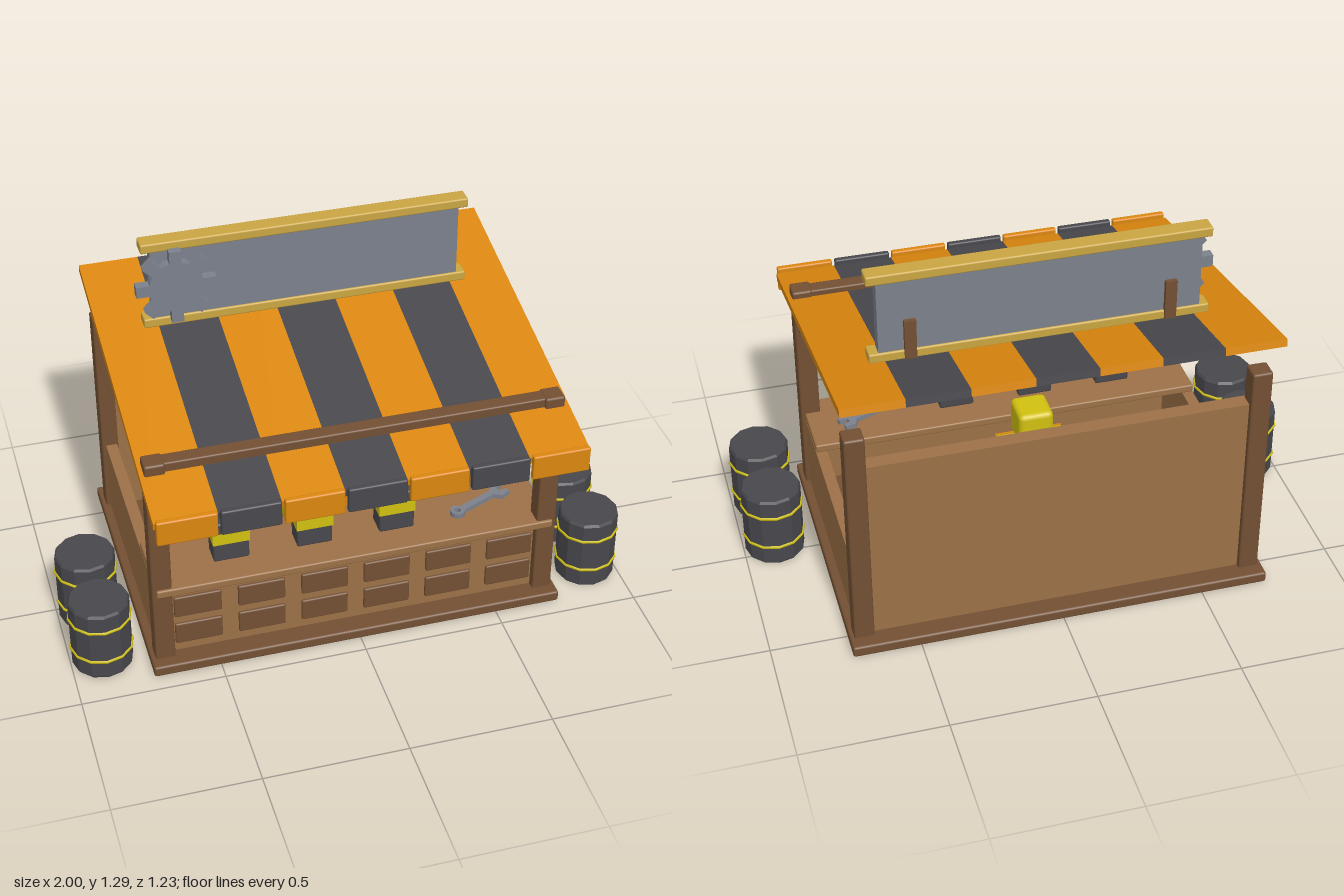
import * as THREE from 'three';
import { RoundedBoxGeometry } from 'three/addons/geometries/RoundedBoxGeometry.js';

const mat = (name, color) => {
  const m = new THREE.MeshStandardMaterial({ color });
  m.name = name;
  return m;
};

export function createModel() {
  const root = new THREE.Group();
  root.name = 'marketStall';
  const lightWood = mat('lightWood', 0x9c7147);
  const darkWood = mat('darkWood', 0x735033);
  const orange = mat('orange', 0xdb870f);
  const charcoal = mat('charcoal', 0x48474c);
  const gold = mat('gold', 0xc9a542);
  const yellow = mat('yellow', 0xd0c010);
  const steel = mat('steel', 0x7b818c);

  const add = (name, geo, material, x = 0, y = 0, z = 0, parent = root) => {
    const m = new THREE.Mesh(geo, material);
    m.name = name;
    m.position.set(x, y, z);
    parent.add(m);
    return m;
  };
  // Box given by its limits on each axis; r softens the edges
  const box = (name, material, [x0, x1], [y0, y1], [z0, z1], r = 0, parent = root) => {
    const s = [x1 - x0, y1 - y0, z1 - z0];
    const geo = r ? new RoundedBoxGeometry(...s, 2, r) : new THREE.BoxGeometry(...s);
    return add(name, geo, material, (x0 + x1) / 2, (y0 + y1) / 2, (z0 + z1) / 2, parent);
  };
  const group = (name, x = 0, y = 0, z = 0, parent = root) => {
    const g = new THREE.Group();
    g.name = name;
    g.position.set(x, y, z);
    parent.add(g);
    return g;
  };

  // Platform, walls and counter
  box('platform', darkWood, [-0.735, 0.735], [0, 0.04], [-0.61, 0.44], 0.008);
  box('backWall', lightWood, [-0.66, 0.66], [0.04, 0.735], [-0.54, -0.487]);
  box('counterFront', lightWood, [-0.66, 0.66], [0.04, 0.315], [0.325, 0.365]);
  box('counterTop', lightWood, [-0.705, 0.705], [0.315, 0.345], [0.123, 0.405], 0.006);
  for (const y of [0.415, 0.605])
    box('shelf', darkWood, [-0.61, 0.61], [y, y + 0.016], [-0.49, -0.38]);
  for (let i = 0; i < 6; i++)
    for (const y of [0.075, 0.192]) {
      const x = (i - 2.5) * 0.224;
      box('counterPanel', darkWood, [x - 0.083, x + 0.083], [y, y + 0.086], [0.355, 0.375], 0.006);
    }

  // Posts, side walls and roof braces
  for (const s of [-1, 1]) {
    const x = s * 0.685;
    for (const z of [0.36, -0.525])
      box('post', darkWood, [x - 0.035, x + 0.035], [0.03, 0.865], [z - 0.035, z + 0.035], 0.008);
    box('sideWall', lightWood, [x - 0.02, x + 0.02], [0.04, 0.315], [-0.5, 0.34]);
    const brace = add('roofBrace', new THREE.BoxGeometry(0.04, 0.035, 0.21), darkWood, x, 0.775, 0.25);
    brace.rotation.x = 0.64;
  }
  box('frontBeam', darkWood, [-0.72, 0.72], [0.795, 0.862], [0.33, 0.385], 0.006);

  // Striped sloping awning with hanging flaps
  const stripe = 1.47 / 7;
  for (let i = 0; i < 7; i++) {
    const x = (i - 3) * stripe;
    const m = i % 2 ? charcoal : orange;
    const strip = add('awningStripe', new THREE.BoxGeometry(stripe, 0.028, 1.22), m, x, 0.895, -0.012);
    strip.rotation.x = 0.2;
    box('awningFlap', m, [x - 0.1, x + 0.1], [0.713, 0.805], [0.59, 0.613], 0.006);
  }

  // Blank sign board with rails and rear struts
  box('signBoard', steel, [-0.545, 0.545], [0.98, 1.27], [-0.298, -0.25]);
  box('signTopRail', gold, [-0.578, 0.578], [1.26, 1.295], [-0.305, -0.243], 0.006);
  box('signBottomRail', gold, [-0.578, 0.578], [0.965, 1.0], [-0.305, -0.243], 0.006);
  for (const x of [-0.44, 0.44])
    box('signStrut', darkWood, [x - 0.02, x + 0.02], [0.865, 1.115], [-0.313, -0.273]);

  // Gear emblem: disc with eight teeth
  const gear = group('gear', -0.465, 1.13, -0.232);
  const disc = add('gearDisc', new THREE.CylinderGeometry(0.097, 0.097, 0.034, 16), steel, 0, 0, 0, gear);
  disc.rotation.x = Math.PI / 2;
  for (let i = 0; i < 8; i++) {
    const a = (i * Math.PI) / 4;
    const tooth = add('gearTooth', new THREE.BoxGeometry(0.05, 0.042, 0.034), steel,
      Math.cos(a) * 0.114, Math.sin(a) * 0.114, 0, gear);
    tooth.rotation.z = a;
  }

  // Oil cans on the counter
  for (const x of [-0.422, -0.128, 0.166]) {
    const can = group('oilCan', x, 0.345, 0.264);
    box('canBody', charcoal, [-0.063, 0.063], [0, 0.16], [-0.041, 0.041], 0.008, can);
    box('canBand', yellow, [-0.065, 0.065], [0.073, 0.118], [-0.043, 0.043], 0, can);
    add('canSpout', new THREE.CylinderGeometry(0.016, 0.016, 0.05, 10), yellow, 0.033, 0.182, 0, can);
  }

  // Wrench lying on the counter, open jaw at one end and a ring at the other
  const wrench = group('wrench', 0.485, 0.352, 0.25);
  wrench.rotation.y = 0.4;
  const outline = new THREE.Shape();
  [[-0.09, -0.012], [0.06, -0.012], [0.08, -0.035], [0.118, -0.03], [0.118, -0.014], [0.09, -0.01],
    [0.09, 0.01], [0.118, 0.014], [0.118, 0.03], [0.08, 0.035], [0.06, 0.012], [-0.09, 0.012]]
    .forEach(([x, y], i) => (i ? outline.lineTo(x, y) : outline.moveTo(x, y)));
  const flat = { depth: 0.018, bevelEnabled: false, curveSegments: 8 };
  const ring = new THREE.Shape().absarc(-0.1, 0, 0.026, 0, Math.PI * 2);
  ring.holes.push(new THREE.Path().absarc(-0.1, 0, 0.012, 0, Math.PI * 2, true));
  add('wrenchHandle', new THREE.ExtrudeGeometry(outline, flat), steel, 0, 0, 0, wrench).rotation.x = -Math.PI / 2;
  add('wrenchRing', new THREE.ExtrudeGeometry(ring, flat), steel, 0, 0.001, 0, wrench).rotation.x = -Math.PI / 2;

  // Robot shopkeeper behind the counter
  const robot = group('robotKeeper');
  box('robotBody', yellow, [-0.12, 0.12], [0.04, 0.474], [-0.238, -0.141], 0.01, robot);
  box('robotApron', orange, [-0.118, 0.118], [0.06, 0.472], [-0.142, -0.135], 0, robot);
  box('robotHead', yellow, [-0.061, 0.061], [0.487, 0.612], [-0.253, -0.125], 0.018, robot);
  box('robotNeck', charcoal, [-0.025, 0.025], [0.47, 0.49], [-0.215, -0.165], 0, robot);
  for (const s of [-1, 1]) {
    box('robotArm', yellow, [s * 0.145 - 0.025, s * 0.145 + 0.025], [0.2, 0.46], [-0.225, -0.15], 0.01, robot);
    box('robotEye', charcoal, [s * 0.03 - 0.011, s * 0.03 + 0.011], [0.542, 0.578], [-0.126, -0.118], 0, robot);
  }
  box('robotMouth', charcoal, [-0.031, 0.031], [0.512, 0.528], [-0.126, -0.118], 0, robot);

  // Banded barrels on both sides
  const profile = [[0, 0], [0.1, 0], [0.106, 0.008], [0.106, 0.266], [0.1, 0.275], [0, 0.275]]
    .map(([x, y]) => new THREE.Vector2(x, y));
  const barrelGeo = new THREE.LatheGeometry(profile, 12).toNonIndexed();
  barrelGeo.computeVertexNormals();
  const hoopGeo = new THREE.TorusGeometry(0.106, 0.006, 6, 12).rotateX(Math.PI / 2);
  // Hoop corners line up with the twelve barrel corners
  for (const x of [-0.888, 0.888])
    for (const z of [0.04, 0.294]) {
      const barrel = group('barrel', x, 0, z);
      add('barrelBody', barrelGeo, charcoal, 0, 0, 0, barrel);
      for (const y of [0.075, 0.203]) add('barrelHoop', hoopGeo, yellow, 0, y, 0, barrel);
    }

  return root;
}
